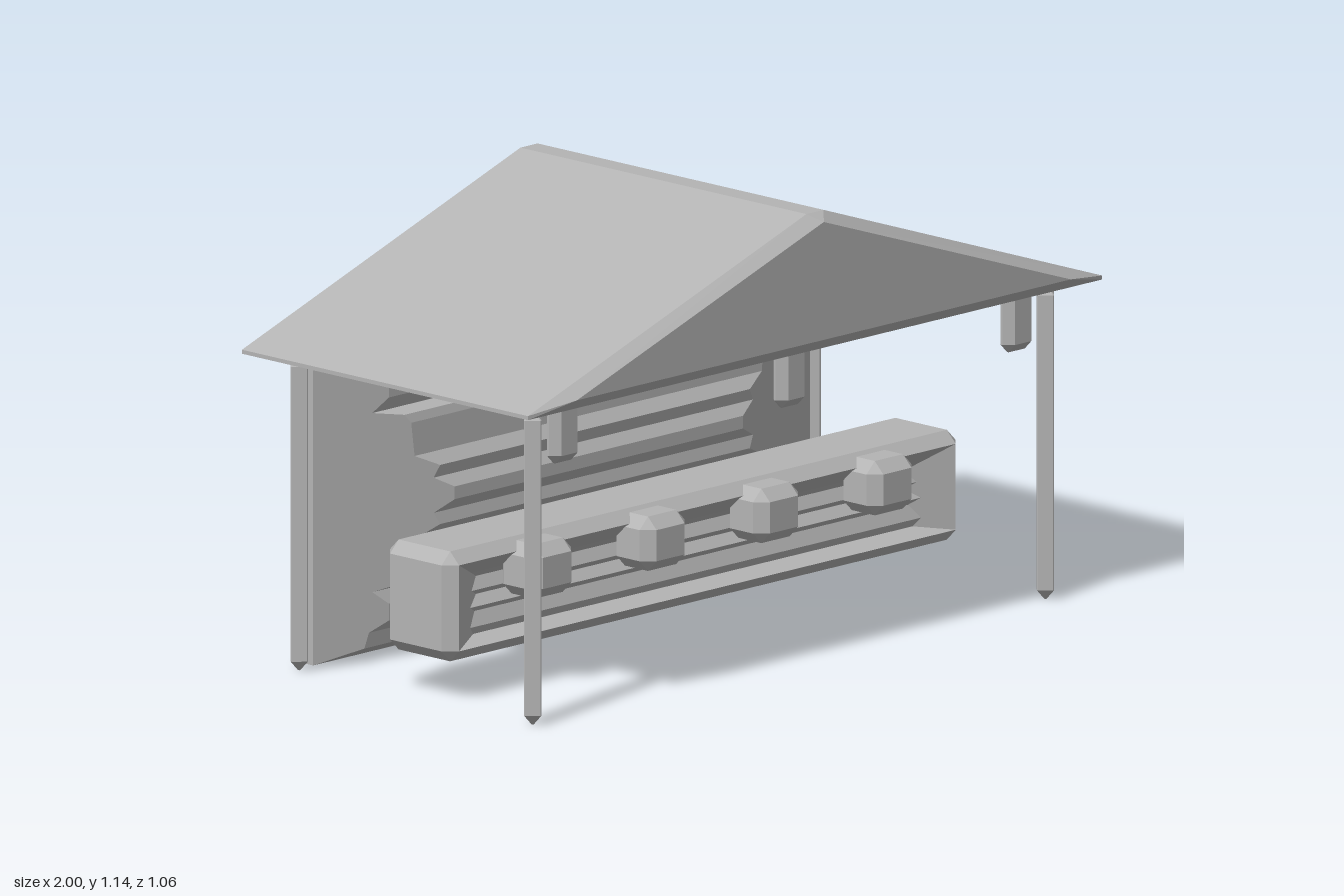
import * as THREE from 'three';

// Flat-shaded geometry from a list of [x, y, z] triangle corners
function facets(corners) {
  const g = new THREE.BufferGeometry();
  g.setAttribute('position', new THREE.Float32BufferAttribute(corners.flat(), 3));
  g.computeVertexNormals();
  return g;
}

// Skin over rings stacked along z; each ring runs counter-clockwise seen from +z
function loft(rings, caps = true) {
  const t = [];
  const n = rings[0].length;
  for (let r = 0; r < rings.length - 1; r++) {
    const a = rings[r], b = rings[r + 1];
    for (let i = 0; i < n; i++) {
      const j = (i + 1) % n;
      t.push(a[i], a[j], b[j], a[i], b[j], b[i]);
    }
  }
  if (caps) {
    const first = rings[0], last = rings[rings.length - 1];
    for (let i = 1; i < n - 1; i++) {
      t.push(first[0], first[i + 1], first[i], last[0], last[i], last[i + 1]);
    }
  }
  return facets(t);
}

// Box with every edge cut off by c
function chamferBox(w, h, d, c, caps = true) {
  const x = w / 2, y = h / 2, z = d / 2;
  const ring = (X, Y, k, Z) => [
    [X, -Y + k, Z], [X, Y - k, Z], [X - k, Y, Z], [-X + k, Y, Z],
    [-X, Y - k, Z], [-X, -Y + k, Z], [-X + k, -Y, Z], [X - k, -Y, Z],
  ];
  return loft([
    ring(x - c, y - c, 0, -z), ring(x, y, c, -z + c),
    ring(x, y, c, z - c), ring(x - c, y - c, 0, z),
  ], caps);
}

// Ridged panel facing +z: rows of [y, depth], sloping to the rim at both ends
function ridgedPanel(rows, halfWidth, rim, slope) {
  const grid = rows.map(([y, depth]) => {
    const inner = halfWidth - Math.abs(depth - rim) / slope;
    return [[-halfWidth, y, rim], [-inner, y, depth], [inner, y, depth], [halfWidth, y, rim]];
  });
  const t = [];
  for (let r = 0; r < grid.length - 1; r++) {
    const a = grid[r], b = grid[r + 1];
    for (let i = 0; i < 3; i++) t.push(a[i], a[i + 1], b[i + 1], a[i], b[i + 1], b[i]);
  }
  return facets(t);
}

export function createModel() {
  const model = new THREE.Group();
  model.name = 'marketStall';
  const grey = new THREE.MeshStandardMaterial({ color: 0xb4b4b4 });
  grey.name = 'plain grey';

  const add = (name, geometry, x, y, z, parent = model) => {
    const mesh = new THREE.Mesh(geometry, grey);
    mesh.name = name;
    mesh.position.set(x, y, z);
    parent.add(mesh);
    return mesh;
  };

  // Solid gable roof with bevelled ends
  const eaves = (z) => [
    [-1, 0.795, z], [1, 0.795, z], [1, 0.805, z],
    [0.03, 1.14, z], [-0.03, 1.14, z], [-1, 0.805, z],
  ];
  const gable = (z) => [
    [-0.86, 0.825, z], [0.86, 0.825, z], [0.86, 0.825, z],
    [0, 1.12, z], [0, 1.12, z], [-0.86, 0.825, z],
  ];
  add('roof', loft([gable(-0.5), eaves(-0.47), eaves(0.5), gable(0.53)]), 0, 0, 0);

  // Four pointed posts
  const post = chamferBox(0.056, 0.79, 0.056, 0.026);
  for (const x of [-0.893, 0.893]) {
    add('frontPost', post, x, 0.395, 0.412);
    add('backPost', post, x, 0.395, -0.38);
  }

  // Hanging lanterns under the front eave
  const lantern = chamferBox(0.1, 0.16, 0.05, 0.022);
  for (const x of [-0.79, 0, 0.79]) add('lantern', lantern, x, 0.72, 0.412);

  // Bulging back wall, ridged on both sides
  const half = [
    [0.01, 0.02], [0.037, 0.066], [0.075, 0.07], [0.1, 0.088], [0.142, 0.088],
    [0.176, 0.073], [0.19, 0.102], [0.212, 0.108], [0.296, 0.111],
    [0.326, 0.134], [0.356, 0.128], [0.384, 0.147],
  ];
  const wallRows = [...half, ...half.slice().reverse().map(([y, d]) => [0.8 - y, d])];
  const wall = new THREE.Group();
  wall.name = 'backWall';
  wall.position.z = -0.38;
  model.add(wall);
  add('wallCore', new THREE.BoxGeometry(1.73, 0.78, 0.04), 0, 0.4, 0, wall);
  const wallPanel = ridgedPanel(wallRows, 0.865, 0.02, 0.35);
  add('wallFront', wallPanel, 0, 0, 0, wall);
  add('wallBack', wallPanel, 0, 0, 0, wall).rotation.y = Math.PI;

  // Counter: chamfered shell with sunken ridged faces front and back
  const counter = new THREE.Group();
  counter.name = 'counter';
  counter.position.set(0, 0.2375, 0.0175);
  model.add(counter);
  add('counterShell', chamferBox(1.79, 0.275, 0.235, 0.03, false), 0, 0, 0, counter);
  const counterRows = [
    [-0.1075, 0], [-0.09, -0.05], [-0.07, -0.04], [-0.035, -0.055], [-0.02, -0.04],
    [0.005, -0.06], [0.02, -0.045], [0.05, -0.06], [0.065, -0.045], [0.1075, 0],
  ];
  const counterPanel = ridgedPanel(counterRows, 0.865, 0, 0.5);
  add('counterFront', counterPanel, 0, 0, 0.1175, counter);
  add('counterBack', counterPanel, 0, 0, -0.1175, counter).rotation.y = Math.PI;

  // Goods along the front of the counter
  const goods = chamferBox(0.156, 0.136, 0.136, 0.029);
  for (const x of [-0.595, -0.2, 0.195, 0.59]) add('goods', goods, x, 0.298, 0.137);

  return model;
}
